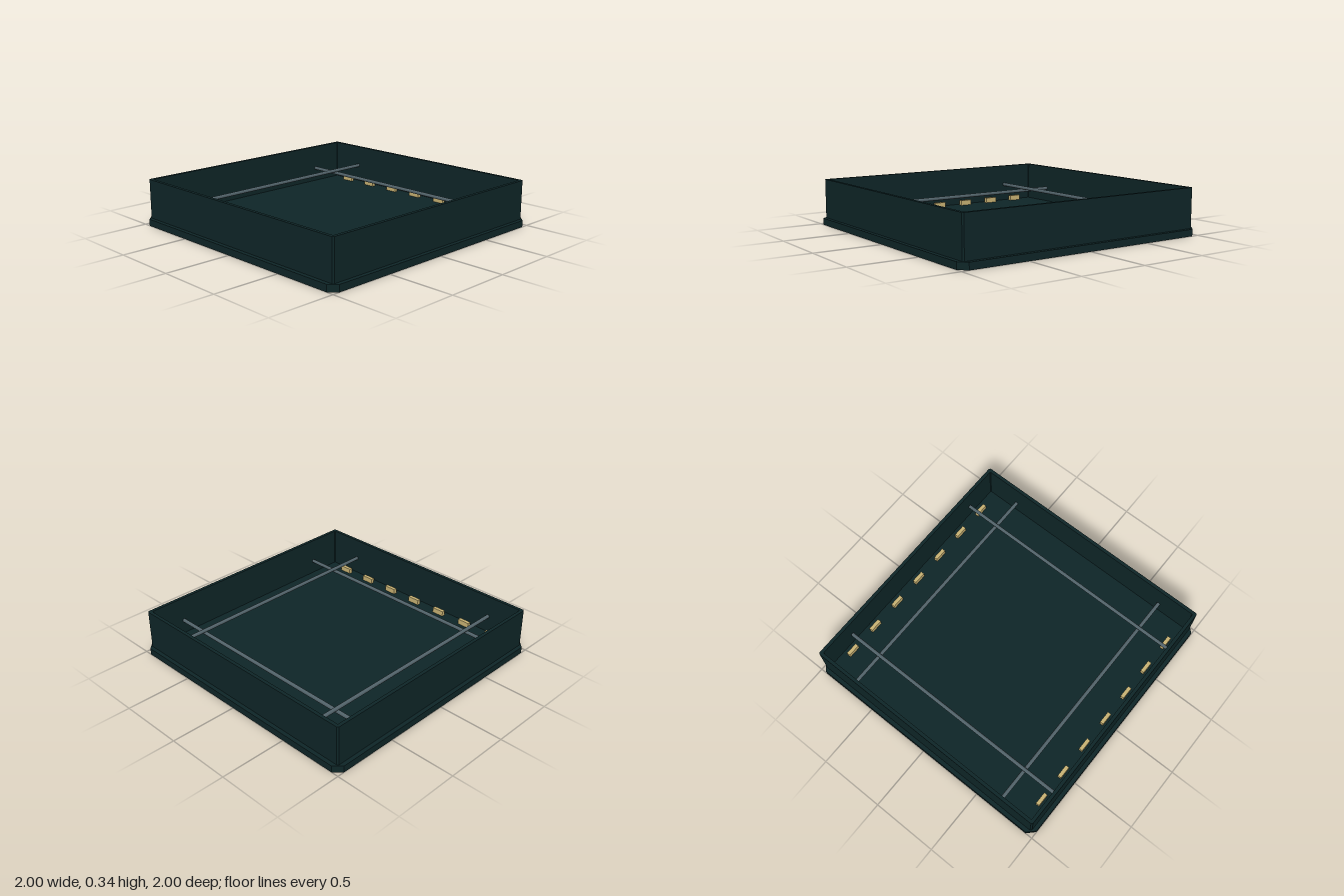
import * as THREE from 'three';

// Square outline with cut corners, half-size h and corner cut c
function chamferedSquare(h, c, Type = THREE.Shape) {
  const k = h - c;
  return new Type([[k, -h], [h, -k], [h, k], [k, h], [-k, h], [-h, k], [-h, -k], [-k, -h]]
    .map(([x, y]) => new THREE.Vector2(x, y)));
}

// Extrude an outline upwards from y0 to y1
function slab(shape, y0, y1) {
  return new THREE.ExtrudeGeometry(shape, { depth: y1 - y0, bevelEnabled: false })
    .rotateX(-Math.PI / 2).translate(0, y0, 0);
}

export function createModel() {
  const group = new THREE.Group();
  const shell = new THREE.MeshStandardMaterial({ name: 'dark teal', color: 0x0e2527 });
  const steel = new THREE.MeshStandardMaterial({ name: 'slate grey', color: 0x52636a });
  const brass = new THREE.MeshStandardMaterial({ name: 'pale gold', color: 0xc8b273 });

  const add = (name, geometry, material) => {
    const mesh = new THREE.Mesh(geometry, material);
    mesh.name = name;
    group.add(mesh);
    return mesh;
  };

  // Base plate, its top is the tray floor
  add('basePlate', slab(chamferedSquare(1, 0.055), 0, 0.05), shell);

  // Upright wall around the edge
  const wall = chamferedSquare(0.97, 0.01);
  wall.holes.push(chamferedSquare(0.945, 0.005, THREE.Path));
  add('wall', slab(wall, 0.05, 0.345), shell);

  // Crossing rails, the lengthwise pair resting on the crosswise pair
  const rail = new THREE.CylinderGeometry(0.014, 0.014, 1.88, 8);
  const crossRail = rail.clone().rotateZ(Math.PI / 2);
  const longRail = rail.clone().rotateX(Math.PI / 2);
  for (const side of [-1, 1]) {
    add('crossRail', crossRail, steel).position.set(0, 0.16, side * 0.68);
    add('longRail', longRail, steel).position.set(side * 0.68, 0.185, 0);
  }

  // Rows of small contact bars along the front and back
  const bar = new THREE.BoxGeometry(0.095, 0.04, 0.028);
  for (const side of [-1, 1]) {
    for (let i = -3; i <= 3; i++) {
      add('contactBar', bar, brass).position.set(i * 0.251, 0.07, side * 0.893);
    }
  }
  return group;
}
